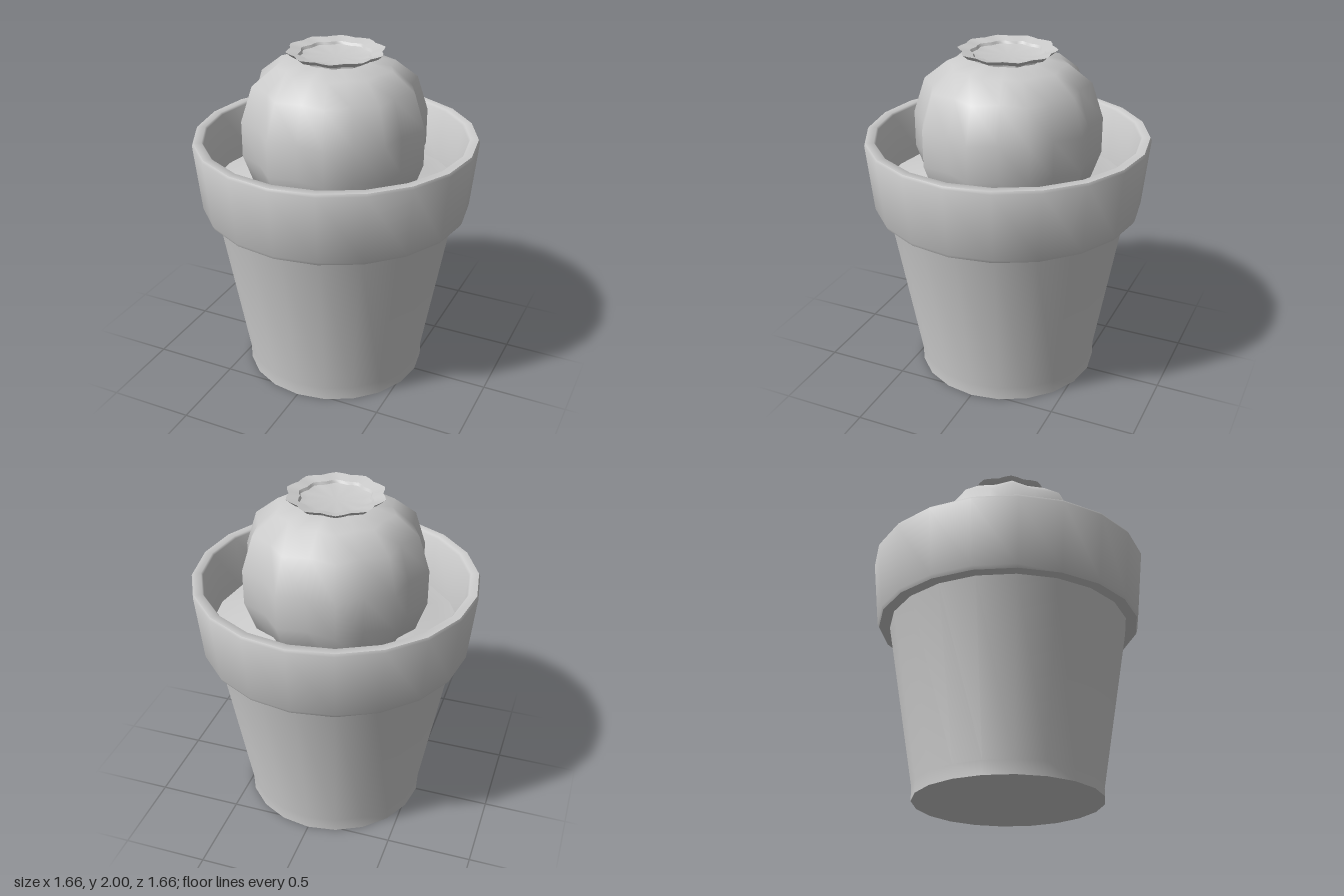
import * as THREE from 'three';
import { toCreasedNormals } from 'three/addons/utils/BufferGeometryUtils.js';

const material = new THREE.MeshStandardMaterial({ color: 0xcccccc });

// Revolve a [radius, y] profile; ribs > 0 pulls the valleys between ten ribs inward.
function turned(name, profile, segments, crease, ribs = 0) {
  const points = profile.map(([r, y]) => new THREE.Vector2(r, y));
  const geometry = new THREE.LatheGeometry(points, segments);
  const pos = geometry.attributes.position;
  for (let i = 0; i < pos.count; i++) {
    const x = pos.getX(i), z = pos.getZ(i);
    const f = 1 - ribs * (0.5 - 0.5 * Math.cos(10 * Math.atan2(z, x)));
    pos.setXYZ(i, x * f, pos.getY(i), z * f);
  }
  const mesh = new THREE.Mesh(toCreasedNormals(geometry, crease), material);
  mesh.name = name;
  return mesh;
}

export function createModel() {
  const model = new THREE.Group();
  model.name = 'pottedCactus';

  // Tapered pot with a thick overhanging collar, hollow down to the soil
  model.add(turned('pot', [
    [0, 0], [0.545, 0], [0.545, 0.08], [0.715, 1.065],
    [0.78, 1.065], [0.79, 1.085], [0.83, 1.485], [0.822, 1.5],
    [0.775, 1.5], [0.765, 1.488], [0.73, 1.14],
  ], 20, 0.9));

  // Gently mounded soil
  model.add(turned('soil', [
    [0.735, 1.17], [0.62, 1.185], [0.5, 1.215], [0.35, 1.24], [0, 1.25],
  ], 20, 0.9));

  // Ball cactus with ten ribs
  model.add(turned('cactus', [
    [0.33, 1.08], [0.475, 1.2], [0.545, 1.4], [0.545, 1.61],
    [0.478, 1.815], [0.345, 1.92], [0.19, 1.952], [0, 1.94],
  ], 20, 1.2, 0.1));

  // Shallow scalloped flower on top
  model.add(turned('flower', [
    [0.2, 1.93], [0.2, 1.962], [0.255, 1.975], [0.284, 2],
    [0.215, 1.985], [0.205, 1.97], [0.165, 1.962], [0, 1.962],
  ], 40, 0.7, 0.09));

  return model;
}
